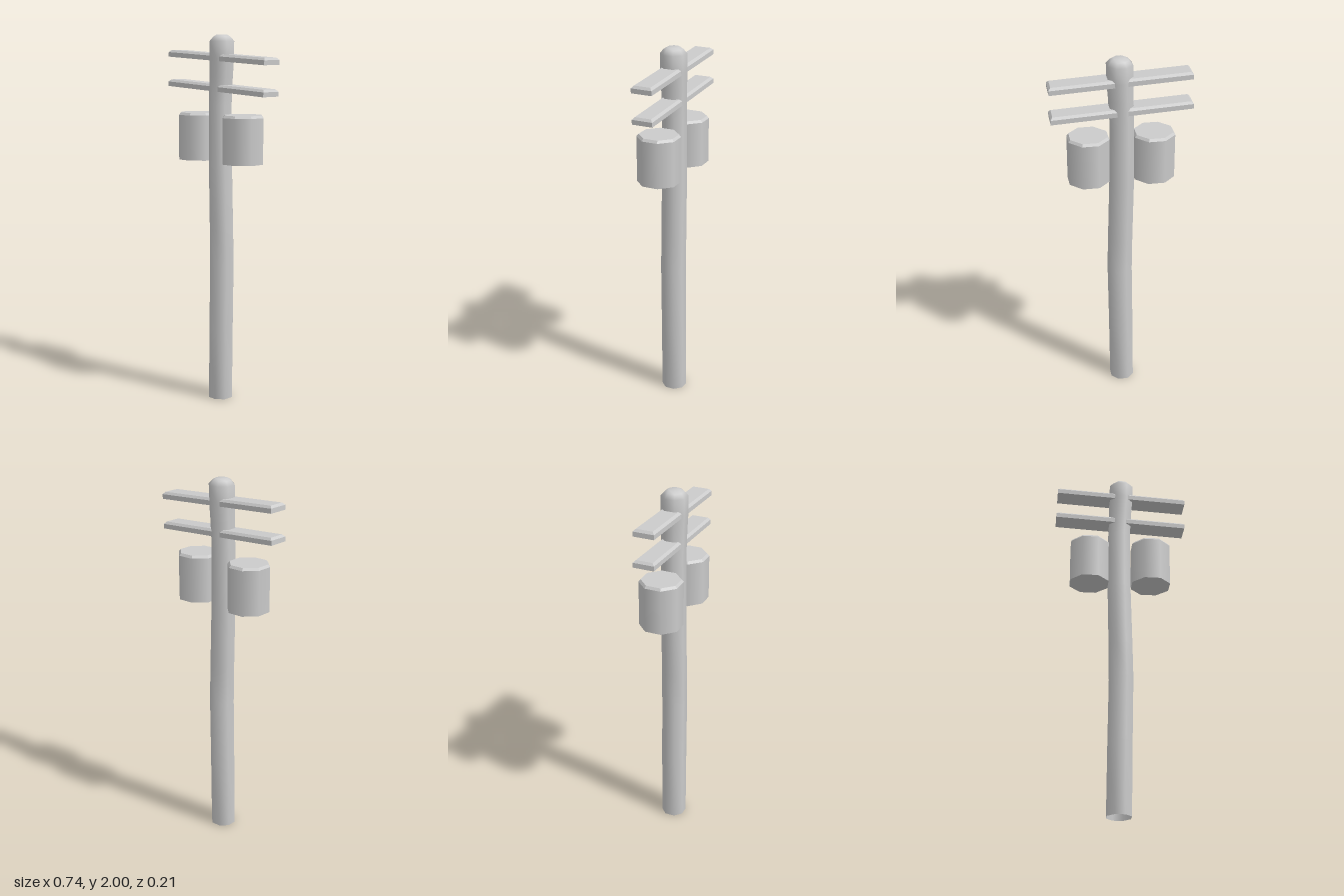
import * as THREE from 'three';
import { mergeVertices } from 'three/addons/utils/BufferGeometryUtils.js';

const material = new THREE.MeshStandardMaterial({ color: 0xcccccc });
const openMaterial = new THREE.MeshStandardMaterial({ color: 0xcccccc, side: THREE.DoubleSide });
const flatMaterial = new THREE.MeshStandardMaterial({ color: 0xcccccc, flatShading: true });

const SIDES = 8;
const TURN = Math.PI / SIDES;
// corner radius of an octagon from its half width across the flats
const corner = (halfWidth) => halfWidth / Math.cos(TURN);

function addMesh(parent, name, geometry, mat) {
  const mesh = new THREE.Mesh(geometry, mat);
  mesh.name = name;
  parent.add(mesh);
  return mesh;
}

// Slightly crooked octagonal pole with a rounded tip; rings are [y, centre x, half width]
function makePole() {
  const rings = [
    [0, -0.008, 0.064], [0.4, -0.003, 0.064], [0.76, 0.003, 0.064], [0.95, 0, 0.063],
    [1.3, -0.008, 0.062], [1.63, -0.009, 0.06], [1.78, -0.003, 0.062], [1.88, 0.002, 0.065],
    [1.967, 0.003, 0.065], [1.99, 0.003, 0.046], [2, 0.003, 0.03], [2, 0.003, 0],
  ];
  const profile = rings.map(([y, , w]) => new THREE.Vector2(corner(w), y));
  let geo = new THREE.LatheGeometry(profile, SIDES, TURN);
  const pos = geo.attributes.position;
  for (let i = 0; i < pos.count; i++) {
    pos.setX(i, pos.getX(i) + rings[i % rings.length][1]);
  }
  geo.deleteAttribute('uv');
  geo.deleteAttribute('normal');
  geo = mergeVertices(geo);
  geo.computeVertexNormals();
  return geo.translate(0, 0, -0.004);
}

// Board with its upper edges chamfered
function makeBoard(length, height, depth, bevel) {
  const geo = new THREE.BoxGeometry(length, height, depth, 1, 2, 1);
  const pos = geo.attributes.position;
  for (let i = 0; i < pos.count; i++) {
    const y = pos.getY(i);
    if (y > height / 4) {
      pos.setX(i, pos.getX(i) - Math.sign(pos.getX(i)) * bevel);
      pos.setZ(i, pos.getZ(i) - Math.sign(pos.getZ(i)) * bevel);
    } else if (Math.abs(y) < height / 4) {
      pos.setY(i, height / 2 - bevel);
    }
  }
  return geo;
}

// Octagonal canister: smooth wall, chamfered rim, flat lid and base
function makeCanister(name, x) {
  const group = new THREE.Group();
  group.name = name;
  const r = corner(0.106), rTop = corner(0.096);
  const bottom = 1.327, shoulder = 1.571, top = 1.584;
  const tube = (r1, r0, y0, y1) =>
    new THREE.CylinderGeometry(r1, r0, y1 - y0, SIDES, 1, true)
      .rotateY(TURN).translate(0, (y0 + y1) / 2, 0);
  const disc = (radius, y, up) =>
    new THREE.CircleGeometry(radius, SIDES, TURN)
      .rotateX(up ? -Math.PI / 2 : Math.PI / 2).translate(0, y, 0);
  addMesh(group, 'canisterWall', tube(r, r, bottom, shoulder), material);
  addMesh(group, 'canisterRim', tube(rTop, r, shoulder, top), flatMaterial);
  addMesh(group, 'canisterLid', disc(rTop, top, true), material);
  addMesh(group, 'canisterBase', disc(r, bottom, false), material);
  group.position.x = x;
  return group;
}

export function createModel() {
  const model = new THREE.Group();
  model.name = 'utilityPole';

  addMesh(model, 'pole', makePole(), openMaterial);

  // Two crossarms, each tilted a little down toward +x
  for (const [name, x, y] of [['upperCrossarm', 0.001, 1.883], ['lowerCrossarm', -0.004, 1.722]]) {
    const arm = addMesh(model, name, makeBoard(0.735, 0.037, 0.113, 0.012), flatMaterial);
    arm.position.set(x, y, -0.006);
    arm.rotation.z = -0.049;
  }

  // Canisters on both sides of the pole
  model.add(makeCanister('rightCanister', -0.177));
  model.add(makeCanister('leftCanister', 0.168));

  return model;
}
